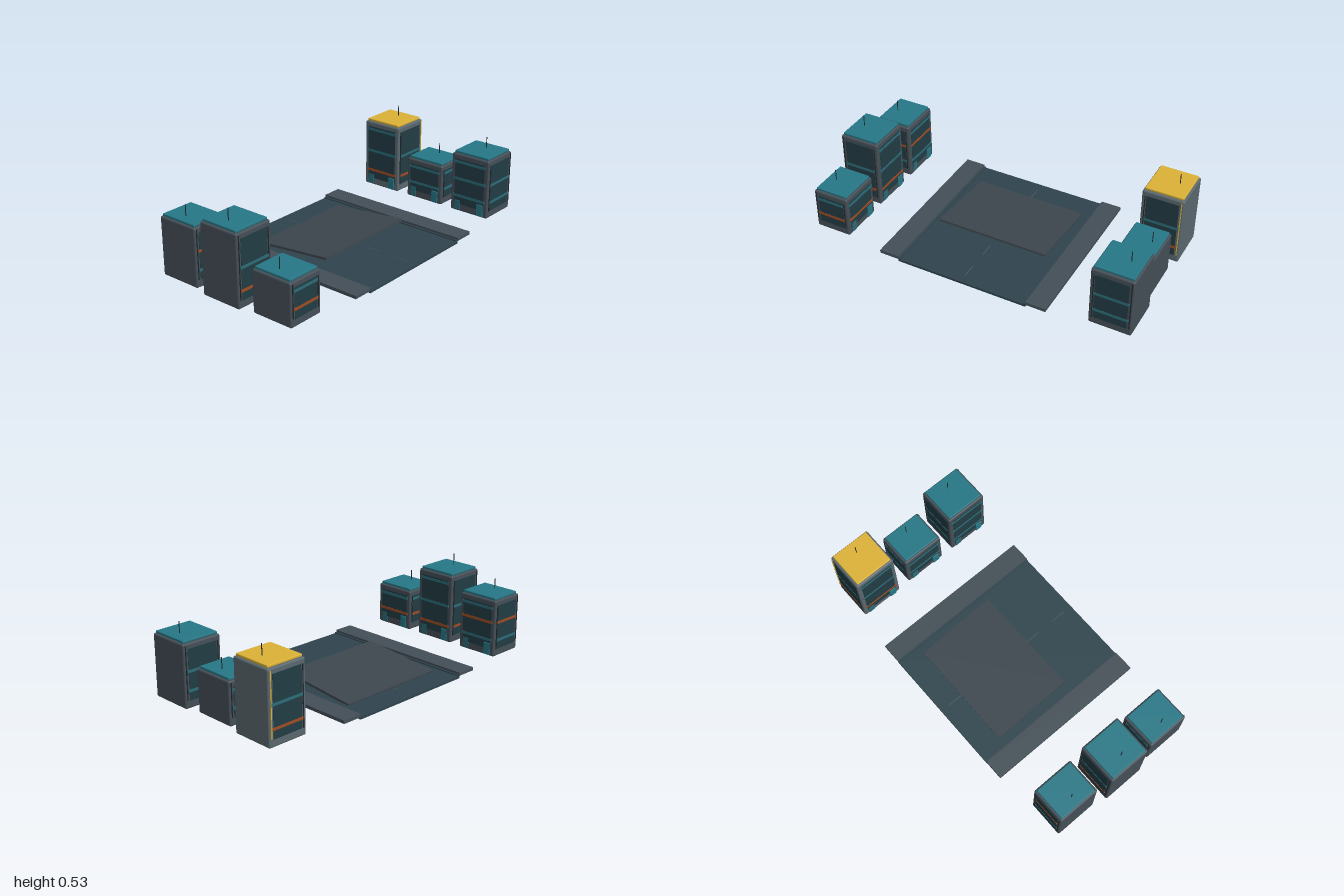
import * as THREE from 'three';
import { RoundedBoxGeometry } from 'three/addons/geometries/RoundedBoxGeometry.js';

const mat = (color) => new THREE.MeshStandardMaterial({ color });
const M = {
  road: mat(0x2f444d), walk: mat(0x444f57), ramp: mat(0x3d464e), dash: mat(0x40565e),
  wall: mat(0x454f57), paleWall: mat(0x5a686f), glass: mat(0x223c45), dark: mat(0x22282c),
  teal: mat(0x267786), band: mat(0x2c6c78), orange: mat(0xa04c22), yellow: mat(0xdcb237),
};

function box(parent, name, size, pos, material, radius = 0) {
  const geo = radius ? new RoundedBoxGeometry(...size, 2, radius) : new THREE.BoxGeometry(...size);
  const mesh = new THREE.Mesh(geo, material);
  mesh.name = name;
  mesh.position.set(...pos);
  parent.add(mesh);
  return mesh;
}

// Built with the street side facing -x; side = -1 turns it to the other side of the road
function building({ side, x, z, w, h, bands, wall = M.wall, accent = M.teal }) {
  const g = new THREE.Group();
  g.name = 'building';
  const d = 0.26, base = 0.02, tall = h - base;
  box(g, 'body', [w, tall, d], [0, base + tall / 2, 0], wall, 0.01);
  box(g, 'roof', [w - 0.02, 0.015, d - 0.024], [0, h + 0.0075, 0], accent, 0.004);

  const mast = new THREE.Mesh(new THREE.CylinderGeometry(0.0025, 0.0025, 0.07, 8), M.dark);
  mast.name = 'antenna';
  mast.position.set(0.045, h + 0.045, 0);
  g.add(mast);

  // Glazed faces towards both neighbours, with floor bands and corner trims
  const low = 0.065, high = h - 0.03, mid = (low + high) / 2;
  for (const s of [-1, 1]) {
    box(g, 'windowPanel', [w - 0.055, high - low, 0.004], [0, mid, s * d / 2], M.glass);
    bands.forEach(([y, m]) =>
      box(g, 'floorBand', [w - 0.04, 0.016, 0.007], [0, y, s * d / 2], m));
    box(g, 'innerTrim', [0.005, high - low, 0.008], [-w / 2 + 0.02, mid, s * d / 2], M.dark);
    box(g, 'outerTrim', [0.005, h - 0.08, 0.008], [w / 2 - 0.014, 0.07 + (h - 0.08) / 2, s * d / 2],
      accent === M.yellow ? M.yellow : M.dark);
  }

  // Street face
  box(g, 'streetWindow', [0.004, high - low, d - 0.05], [-w / 2, mid, 0], M.glass);
  bands.forEach(([y, m]) =>
    box(g, 'streetBand', [0.007, 0.016, d - 0.035], [-w / 2, y, 0], m));
  box(g, 'topBand', [0.008, 0.016, d - 0.035], [-w / 2, h - 0.048, 0], M.band);
  box(g, 'door', [0.012, 0.075, 0.045], [-w / 2, 0.0625, 0.08], M.teal, 0.004);
  box(g, 'doorPanel', [0.008, 0.06, 0.04], [-w / 2, 0.06, -0.08], M.band);

  g.position.set(x, 0, z);
  if (side < 0) g.rotation.y = Math.PI;
  return g;
}

export function createModel() {
  const root = new THREE.Group();
  root.name = 'streetBlock';

  // Road and pavements
  box(root, 'road', [0.8, 0.014, 1], [0, 0.007, 0], M.road);
  for (const s of [-1, 1]) {
    box(root, 'pavement', [0.12, 0.019, 1], [s * 0.46, 0.0235, 0], M.walk);
    box(root, 'kerb', [0.012, 0.008, 1], [s * 0.394, 0.016, 0], M.road);
  }
  for (let i = -2; i <= 2; i++)
    box(root, 'laneDash', [0.006, 0.002, 0.09], [0, 0.015, i * 0.2], M.dash);

  // Tilted slab, rising towards the front
  const slab = box(root, 'ramp', [0.68, 0.014, 0.495], [0, 0.04, -0.105], M.ramp);
  slab.rotation.x = -0.1;

  // Buildings along both sides
  const o = M.orange, t = M.band;
  [
    { side: 1, x: 0.872, z: 0.333, w: 0.245, h: 0.385, bands: [[0.12, t], [0.23, t]] },
    { side: 1, x: 0.86, z: 0, w: 0.215, h: 0.27, bands: [[0.12, t], [0.222, t]] },
    { side: 1, x: 0.872, z: -0.333, w: 0.245, h: 0.44, bands: [[0.12, o], [0.25, t]],
      wall: M.paleWall, accent: M.yellow },
    { side: -1, x: -0.862, z: 0.333, w: 0.22, h: 0.27, bands: [[0.12, o], [0.22, t]] },
    { side: -1, x: -0.876, z: 0, w: 0.245, h: 0.44, bands: [[0.12, o], [0.25, t]] },
    { side: -1, x: -0.862, z: -0.333, w: 0.22, h: 0.365, bands: [[0.12, t], [0.23, o]] },
  ].forEach((b) => root.add(building(b)));

  // The tallest mast stands on the middle building
  root.children.at(-2).getObjectByName('antenna').scale.y = 1.15;
  return root;
}
